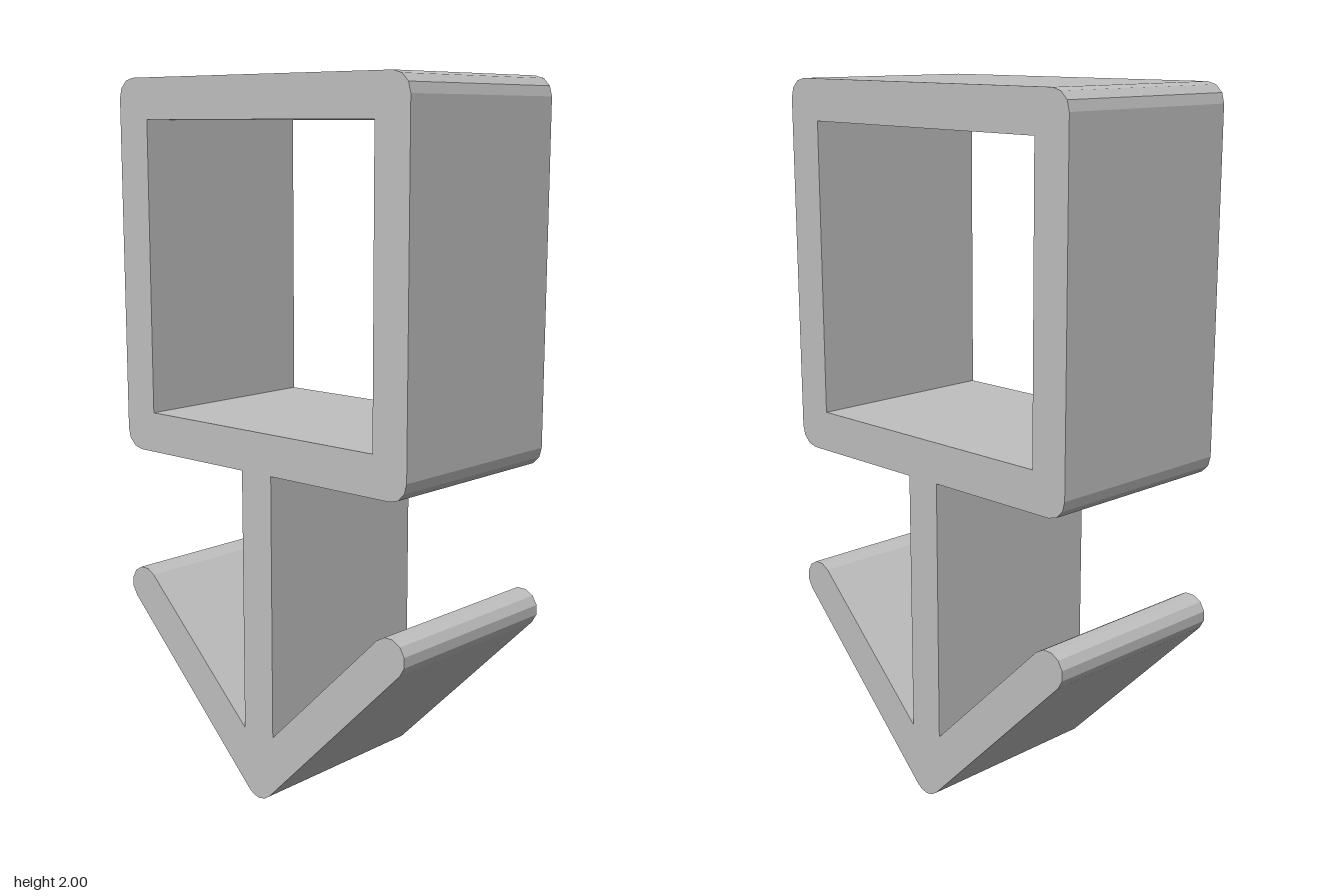
import * as THREE from 'three';

const DEPTH = 0.586;
const HALF = 0.055; // half the wall thickness, also the rounding radius

// Points of a faceted arc, angles in degrees
function arc(cx, cy, r, from, to, segments) {
  return Array.from({ length: segments + 1 }, (_, i) => {
    const a = THREE.MathUtils.degToRad(from + ((to - from) * i) / segments);
    return new THREE.Vector2(cx + r * Math.cos(a), cy + r * Math.sin(a));
  });
}

function rectangle(x0, y0, x1, y1) {
  return [[x0, y0], [x1, y0], [x1, y1], [x0, y1]].map(([x, y]) => new THREE.Vector2(x, y));
}

export function createModel() {
  const group = new THREE.Group();
  const grey = new THREE.MeshStandardMaterial({ color: 0xc0c0c0, flatShading: true });
  grey.name = 'lightGrey';

  const addProfile = (name, shape) => {
    const geometry = new THREE.ExtrudeGeometry(shape, { depth: DEPTH, bevelEnabled: false });
    geometry.translate(0, 0, -DEPTH / 2);
    const mesh = new THREE.Mesh(geometry, grey);
    mesh.name = name;
    group.add(mesh);
  };

  // Square tube with rounded outer corners and a sharp opening
  const cx = 0.527 - HALF, low = 0.945 + HALF, high = 2 - HALF;
  const frame = new THREE.Shape([
    ...arc(cx, high, HALF, 0, 90, 3),
    ...arc(-cx, high, HALF, 90, 180, 3),
    ...arc(-cx, low, HALF, 180, 270, 3),
    ...arc(cx, low, HALF, 270, 360, 3),
  ]);
  frame.holes.push(new THREE.Path(rectangle(-0.415, 1.06, 0.415, 1.886).reverse()));
  addProfile('squareFrame', frame);

  // Upright web between the frame and the arrow
  addProfile('stem', new THREE.Shape(rectangle(-HALF, 0.197, HALF, 0.945)));

  // Arrow arms with round ends and a rounded tip
  addProfile('arrowHead', new THREE.Shape([
    ...arc(0, HALF, HALF, 225, 315, 4),
    ...arc(cx, 0.532, HALF, -45, 135, 6),
    new THREE.Vector2(HALF, 0.197),
    new THREE.Vector2(-HALF, 0.197),
    ...arc(-cx, 0.532, HALF, 45, 225, 6),
  ]));

  return group;
}
